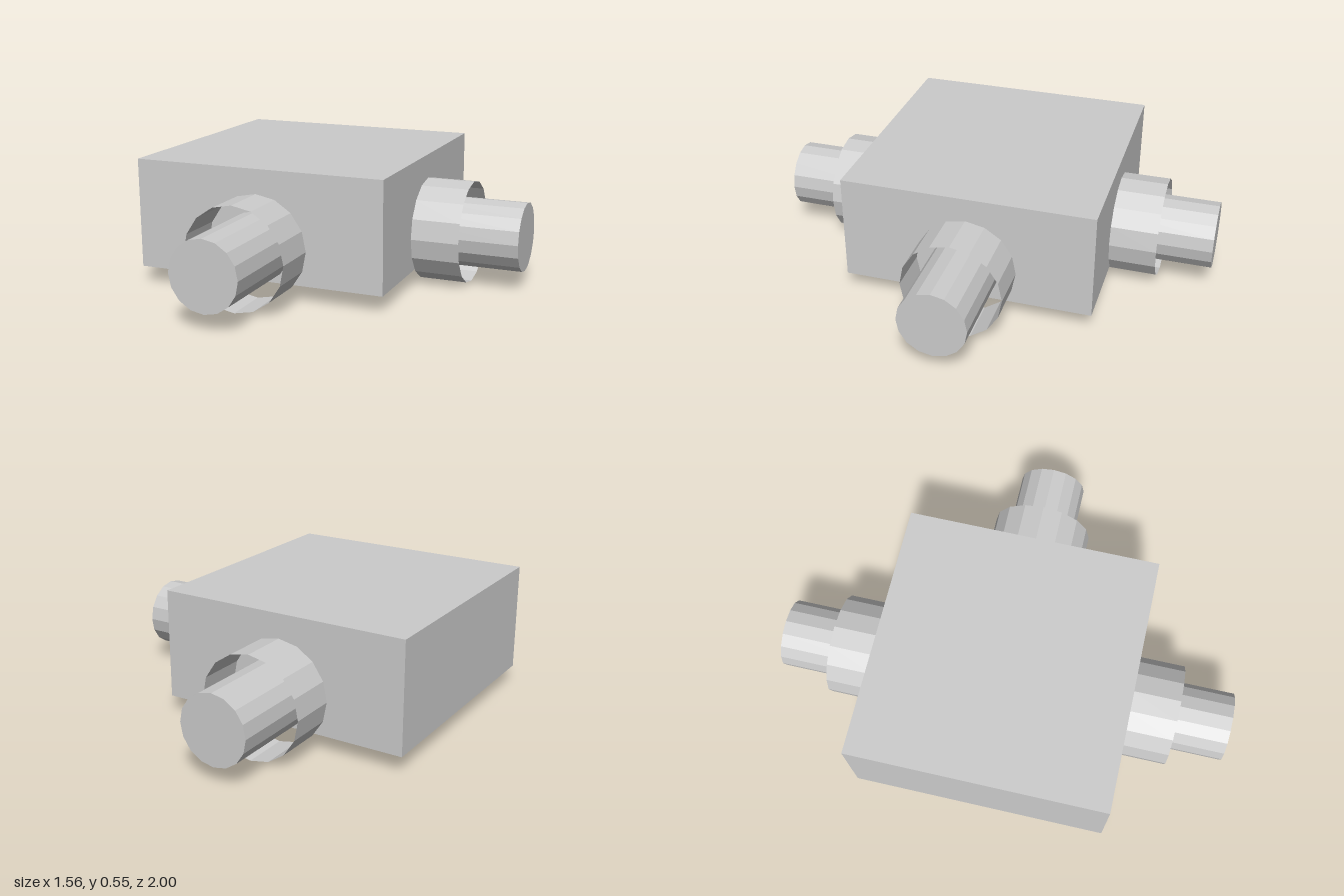
import * as THREE from 'three';

const SIDES = 16;
const AXIS_Y = 0.2225;

export function createModel() {
  const model = new THREE.Group();
  const solid = new THREE.MeshStandardMaterial({ color: 0xcccccc, flatShading: true });
  const thin = new THREE.MeshStandardMaterial({ color: 0xcccccc, flatShading: true, side: THREE.DoubleSide });

  // Main block
  const body = new THREE.Mesh(new THREE.BoxGeometry(1.113, 0.475, 1.113), solid);
  body.name = 'body';
  body.position.set(-0.2215, 0.3125, 0);
  model.add(body);

  // Port pointing along +z: capped pipe inside a wider open collar
  function addPort(name, x, z, turn) {
    const port = new THREE.Group();
    port.name = name;

    const pipe = new THREE.Mesh(new THREE.CylinderGeometry(0.15, 0.15, 0.4435, SIDES).rotateX(Math.PI / 2), solid);
    pipe.name = 'pipe';
    pipe.position.z = 0.4435 / 2;

    const collar = new THREE.Mesh(
      new THREE.CylinderGeometry(0.2225, 0.2225, 0.208, SIDES, 1, true).rotateX(Math.PI / 2), thin);
    collar.name = 'collar';
    collar.position.z = 0.208 / 2;

    port.add(pipe, collar);
    port.position.set(x, AXIS_Y, z);
    port.rotation.y = turn;
    model.add(port);
  }

  addPort('frontPort', -0.2215, 0.5565, 0);
  addPort('backPort', -0.2215, -0.5565, Math.PI);
  addPort('leftPort', 0.335, 0, Math.PI / 2);

  return model;
}
